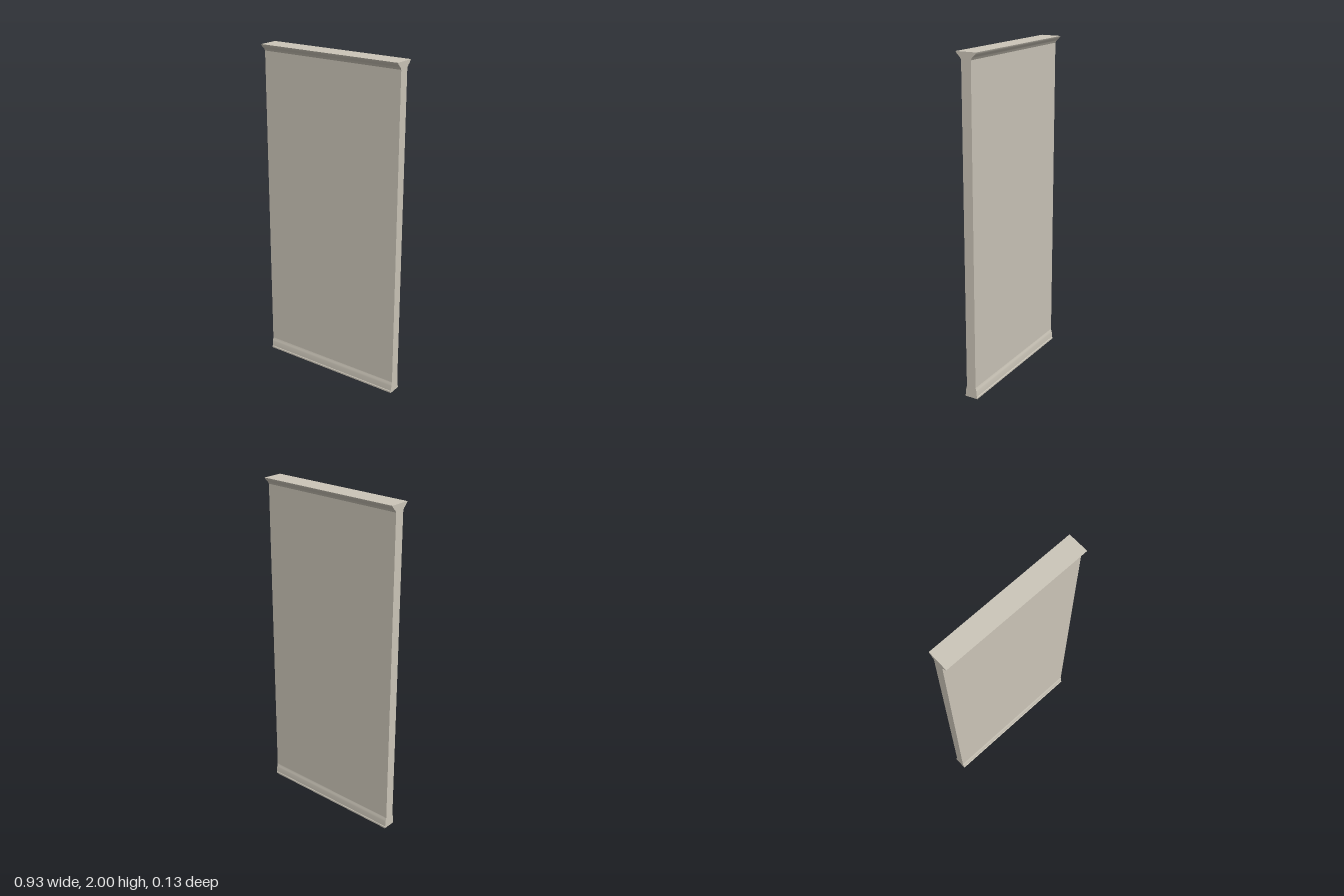
import * as THREE from 'three';
import { toCreasedNormals } from 'three/addons/utils/BufferGeometryUtils.js';

const WIDTH = 0.926;
const HALF_WALL = 0.03;
const BASE_TOP = 0.07;
const CORNICE_BOTTOM = 1.958;

// Mirrors a half profile of [depth, height] points and runs it along x
function moulding(name, half, material) {
  const points = [
    ...half.map(([z, y]) => new THREE.Vector2(z, y)),
    ...half.slice().reverse().map(([z, y]) => new THREE.Vector2(-z, y)),
  ];
  const geometry = new THREE.ExtrudeGeometry(new THREE.Shape(points), {
    depth: WIDTH, steps: 1, bevelEnabled: false,
  });
  geometry.translate(0, 0, -WIDTH / 2);
  geometry.rotateY(Math.PI / 2);
  const mesh = new THREE.Mesh(toCreasedNormals(geometry, 0.5), material);
  mesh.name = name;
  return mesh;
}

export function createModel() {
  const stone = new THREE.MeshStandardMaterial({ color: 0xcbc5b8 });
  stone.name = 'warm grey plaster';

  const group = new THREE.Group();
  group.name = 'wallPanel';

  // Skirting: thin foot, then a slightly tapered board easing into the wall
  group.add(moulding('skirting', [
    [0.041, 0], [0.041, 0.009], [0.038, 0.013], [0.036, 0.045],
    [0.034, 0.055], [0.031, 0.064], [HALF_WALL, BASE_TOP],
  ], stone));

  // Plain wall
  group.add(moulding('wall', [
    [HALF_WALL, BASE_TOP], [HALF_WALL, CORNICE_BOTTOM],
  ], stone));

  // Cornice: small step, then a cove flaring out to the flat top
  group.add(moulding('cornice', [
    [HALF_WALL, CORNICE_BOTTOM], [0.033, 1.963], [0.036, 1.969],
    [0.042, 1.975], [0.049, 1.981], [0.056, 1.988], [0.061, 1.995], [0.063, 2],
  ], stone));

  return group;
}
